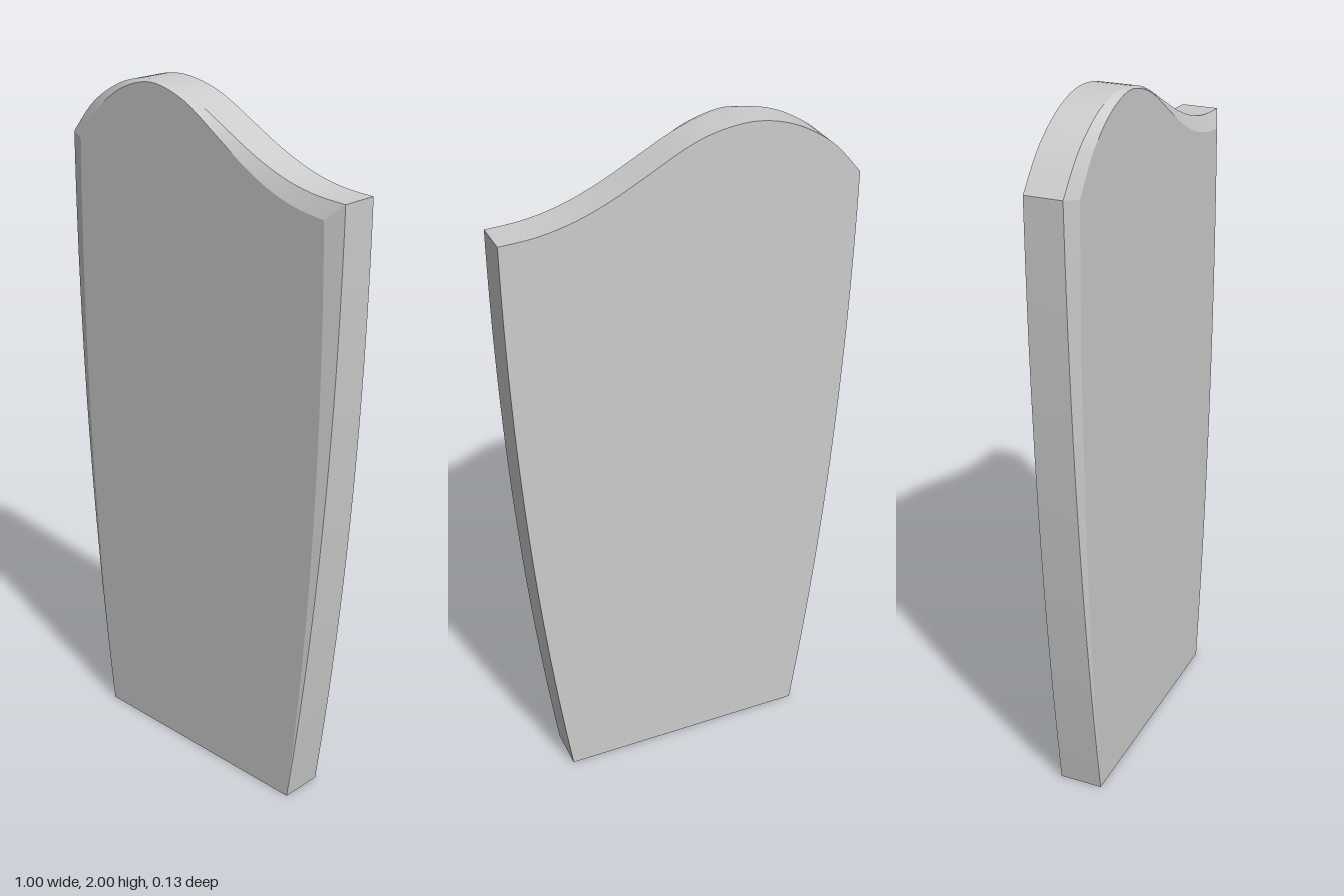
import * as THREE from 'three';
import { toCreasedNormals } from 'three/addons/utils/BufferGeometryUtils.js';

const BACK = -0.063, FRONT = 0.063, EDGE = 0.043;
const SIDE_STEPS = 24, TOP_STEPS = 48;

// wavy crown, from right to left
const crown = new THREE.SplineCurve([
  [0.5, 1.79], [0.4, 1.796], [0.3, 1.818], [0.2, 1.857], [0.1, 1.908], [0, 1.96],
  [-0.08, 1.988], [-0.17, 2], [-0.25, 1.99], [-0.33, 1.96], [-0.42, 1.9], [-0.5, 1.81],
].map(([x, y]) => new THREE.Vector2(x, y)));

const halfWidth = (t) => 0.5 - 0.128 * (1 - t) ** 2;

// Counter-clockwise stations: outer point, inset front point and depth of the bevel's outer edge
function stations() {
  const list = [];
  const side = (sign, topY, drop, t) => {
    const x = sign * halfWidth(t), y = topY * t;
    list.push({
      outer: [x, y],
      inner: [x - sign * 0.05 * t, y - drop * t],
      edge: THREE.MathUtils.lerp(FRONT, EDGE, t),
    });
  };
  for (let i = 0; i < SIDE_STEPS; i++) side(1, 1.79, 0.045, i / SIDE_STEPS);
  for (let i = 0; i <= TOP_STEPS; i++) {
    const { x, y } = crown.getPoint(i / TOP_STEPS);
    // the bevel nearly vanishes at the crest and widens to both corners
    const drop = x > -0.17 ? 0.004 + 0.041 * (x + 0.17) / 0.67 : 0.004 + 0.006 * (-0.17 - x) / 0.33;
    list.push({ outer: [x, y], inner: [x * 0.9, y - drop], edge: EDGE });
  }
  for (let i = SIDE_STEPS - 1; i >= 0; i--) side(-1, 1.81, 0.01, i / SIDE_STEPS);
  return list;
}

function slabGeometry() {
  const st = stations(), n = st.length, pos = [];
  const back = st.map((s) => [...s.outer, BACK]);
  const edge = st.map((s) => [...s.outer, s.edge]);
  const front = st.map((s) => [...s.inner, FRONT]);
  const tri = (...corners) => corners.forEach((c) => pos.push(...c));

  // walls and bevel; the bevel fades out at the base
  const strip = (a, b, count) => {
    for (let i = 0; i < count; i++) {
      const j = (i + 1) % n;
      tri(a[i], a[j], b[j]);
      tri(a[i], b[j], b[i]);
    }
  };
  strip(back, edge, n);
  strip(edge, front, n - 1);

  // flat front and back faces
  const cap = (loop, flip) => {
    const contour = loop.map(([x, y]) => new THREE.Vector2(x, y));
    for (const [a, b, c] of THREE.ShapeUtils.triangulateShape(contour, [])) {
      if (flip) tri(loop[a], loop[c], loop[b]);
      else tri(loop[a], loop[b], loop[c]);
    }
  };
  cap(front, false);
  cap(back, true);

  const geometry = new THREE.BufferGeometry();
  geometry.setAttribute('position', new THREE.Float32BufferAttribute(pos, 3));
  return toCreasedNormals(geometry, 0.2);
}

export function createModel() {
  const group = new THREE.Group();
  group.name = 'headstone';
  const slab = new THREE.Mesh(slabGeometry(), new THREE.MeshStandardMaterial({ color: 0xcccccc }));
  slab.name = 'slab';
  group.add(slab);
  return group;
}
